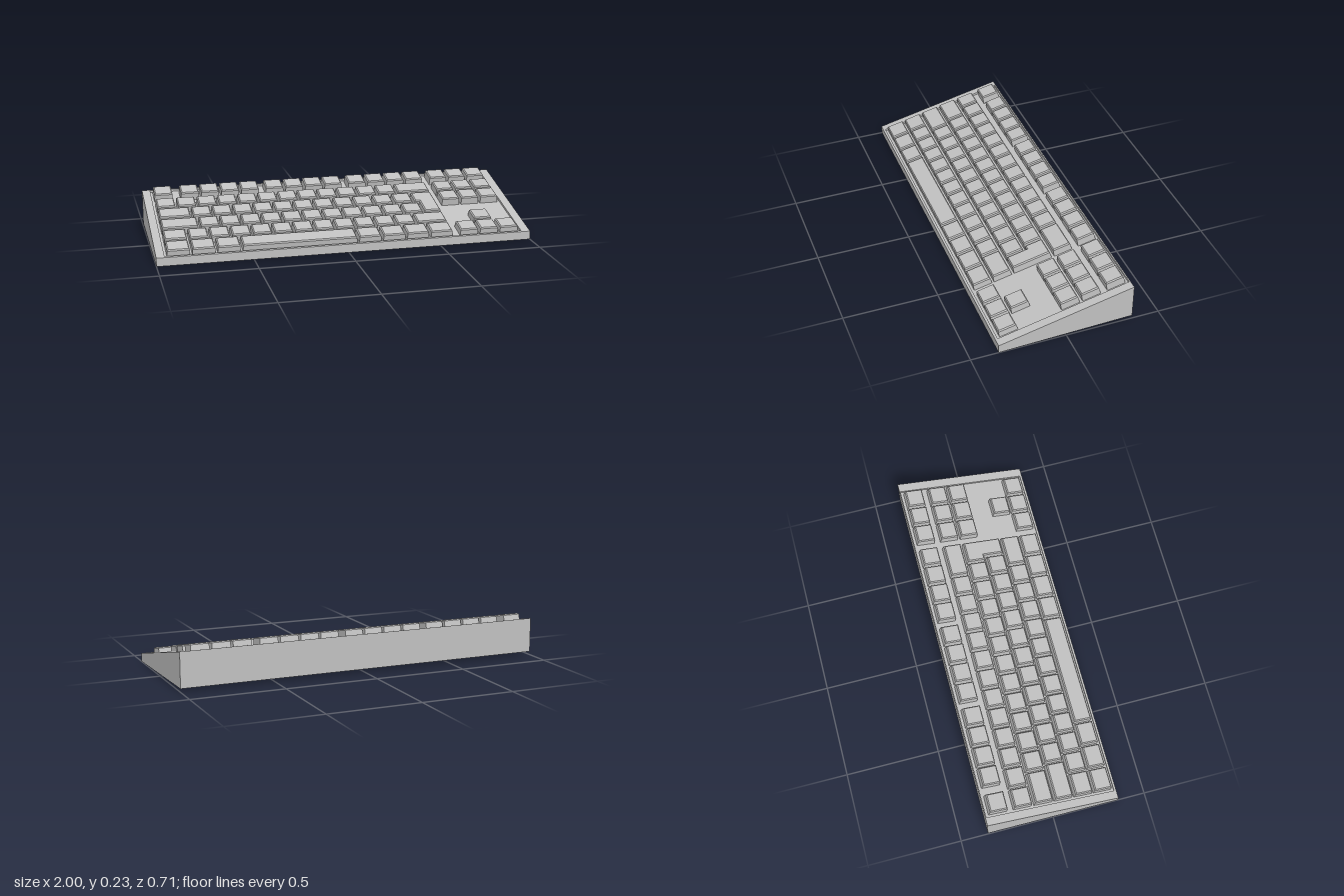
import * as THREE from 'three';

const U = 0.1111;          // key pitch
const LEFT = -0.949;       // left edge of the key field
const GAP = 0.0055;        // half the gap between keys
const SLOPE = 0.2254;      // rise of the deck per unit of depth
const MID = 0.125;         // deck height at z = 0
const DEPTH = 0.012;       // how far the plate is sunk
const TILT = Math.atan(SLOPE);
const deckY = z => MID - SLOPE * z;

function flatGeometry(positions) {
  const g = new THREE.BufferGeometry();
  g.setAttribute('position', new THREE.Float32BufferAttribute(positions, 3));
  g.computeVertexNormals();
  return g;
}

// four corners, counter-clockwise from outside
function quad(out, a, b, c, d) {
  for (const p of [a, b, c, a, c, d]) out.push(...p);
}

// moves each corner of a counter-clockwise right-angled outline inward
function inset(pts, d) {
  return pts.map((p, i) => {
    const a = pts[(i + pts.length - 1) % pts.length], b = pts[(i + 1) % pts.length];
    const e1 = p.clone().sub(a).normalize(), e2 = b.clone().sub(p).normalize();
    return new THREE.Vector2(p.x - d * (e1.y + e2.y), p.y + d * (e1.x + e2.x));
  });
}

// keycap: slightly tapered sides, chamfered rim and a flat top
function keyGeometry(outline, height) {
  const rings = [[-DEPTH, 0], [height - 0.006, 0.002], [height, 0.0075]]
    .map(([y, d]) => inset(outline, d).map(p => [p.x, y, -p.y]));
  const out = [], n = outline.length;
  for (let r = 0; r < 2; r++) {
    for (let i = 0; i < n; i++) {
      const j = (i + 1) % n;
      quad(out, rings[r][i], rings[r][j], rings[r + 1][j], rings[r + 1][i]);
    }
  }
  for (const f of THREE.ShapeUtils.triangulateShape(inset(outline, 0.0075), [])) {
    for (const i of f) out.push(...rings[2][i]);
  }
  return flatGeometry(out);
}

function caseGeometry() {
  const out = [];
  const X = 1, Z = 0.355, back = 0.018;
  const outer = [[-X, Z], [X, Z], [X, -Z], [-X, -Z]];
  const inner = [[-0.957, 0.343], [0.953, 0.343], [0.953, -0.349], [-0.957, -0.349]];
  const bottom = outer.map(([x, z]) => [x, z > 0 ? 0 : back, z]);
  const top = outer.map(([x, z]) => [x, deckY(z), z]);
  const lip = inner.map(([x, z]) => [x, deckY(z), z]);
  const floor = inner.map(([x, z]) => [x, deckY(z) - DEPTH, z]);
  for (let i = 0; i < 4; i++) {
    const j = (i + 1) % 4;
    quad(out, bottom[i], bottom[j], top[j], top[i]);   // outer walls
    quad(out, top[i], top[j], lip[j], lip[i]);         // rim
    quad(out, lip[i], lip[j], floor[j], floor[i]);     // recess walls
  }
  quad(out, ...floor);
  quad(out, ...bottom.slice().reverse());
  return flatGeometry(out);
}

export function createModel() {
  const grey = new THREE.MeshStandardMaterial({ color: 0xc0c0c0 });
  grey.name = 'grey plastic';

  const model = new THREE.Group();
  model.name = 'keyboard';
  const body = new THREE.Mesh(caseGeometry(), grey);
  body.name = 'case';
  model.add(body);

  // keys live in a frame tilted with the deck
  const keys = new THREE.Group();
  keys.name = 'keys';
  keys.position.y = MID;
  keys.rotation.x = TILT;
  model.add(keys);

  const ones = n => Array(n).fill(1);
  // centre z, height, then runs of [start, key widths], all in key units
  const rows = [
    { name: 'functionKey', z: -0.285, h: 0.034,
      runs: [[0, [1]], [1.29, ones(4)], [5.52, ones(4)], [9.75, ones(4)], [14.03, ones(3)]] },
    { name: 'numberKey', z: -0.154, h: 0.031, runs: [[0, [...ones(12), 1.75]], [14.03, ones(3)]] },
    { name: 'upperKey', z: -0.043, h: 0.031, runs: [[0, [1.6, ...ones(11)]], [14.03, ones(3)]] },
    { name: 'homeKey', z: 0.066, h: 0.029, runs: [[0, [1.83, ...ones(11)]]] },
    { name: 'lowerKey', z: 0.175, h: 0.027, runs: [[0, [1.17, ...ones(11), 1.58]], [15.03, [1]]] },
    { name: 'bottomKey', z: 0.282, h: 0.025,
      runs: [[0, [1.17, 1.17, 1.17, 5.54, 1.175, 1.175, 1.175, 1.175]], [14.03, ones(3)]] },
  ];
  const half = 0.0495;
  const localZ = z => z / Math.cos(TILT);
  const edge = u => LEFT + u * U;

  function addKey(name, corners, h) {
    const outline = corners.map(([x, z]) => new THREE.Vector2(x, -z));
    const key = new THREE.Mesh(keyGeometry(outline, h), grey);
    key.name = name;
    keys.add(key);
  }

  for (const { name, z, h, runs } of rows) {
    const front = localZ(z) + half, rear = localZ(z) - half;
    for (const [start, widths] of runs) {
      let u = start;
      for (const w of widths) {
        const l = edge(u) + GAP, r = edge(u + w) - GAP;
        addKey(w > 5 ? 'spaceBar' : name, [[l, front], [r, front], [r, rear], [l, rear]], h);
        u += w;
      }
    }
  }

  // L-shaped enter key across two rows
  const rear = localZ(rows[2].z) - half, step = localZ(rows[2].z) + half;
  const front = localZ(rows[3].z) + half;
  const r = edge(13.75) - GAP, wide = edge(12.6) + GAP, narrow = edge(12.83) + GAP;
  addKey('enterKey',
    [[narrow, front], [r, front], [r, rear], [wide, rear], [wide, step], [narrow, step]], 0.03);

  return model;
}
